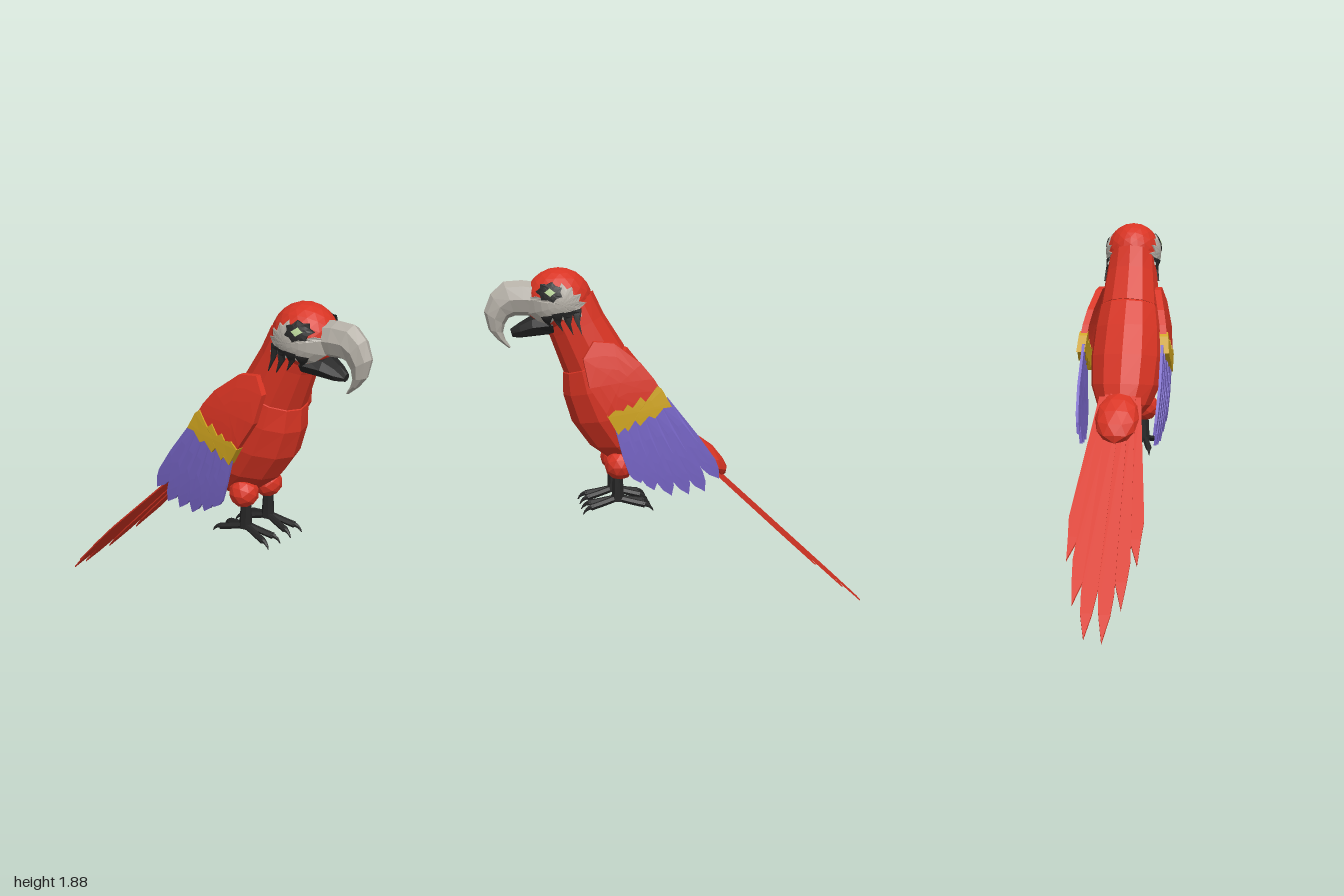
import * as THREE from 'three';

const mat = (name, color) =>
  new THREE.MeshStandardMaterial({ name, color, flatShading: true, side: THREE.DoubleSide });

function makeGeometry(points, index) {
  const g = new THREE.BufferGeometry();
  g.setAttribute('position', new THREE.Float32BufferAttribute(points.flat(), 3));
  g.setIndex(index);
  g.computeVertexNormals();
  return g;
}

// Skin over elliptical sections: [frontZ, frontY, backZ, backY, halfWidth]
function loft(sections, n = 12) {
  const pts = [], idx = [];
  sections.forEach(([fz, fy, bz, by, w], k) => {
    for (let i = 0; i < n; i++) {
      const a = (i / n) * Math.PI * 2, c = Math.cos(a) / 2;
      pts.push([w * Math.sin(a), (fy + by) / 2 + (fy - by) * c, (fz + bz) / 2 + (fz - bz) * c]);
      if (k === 0) continue;
      const j = (i + 1) % n, u = (k - 1) * n, l = k * n;
      idx.push(u + i, l + i, u + j, u + j, l + i, l + j);
    }
  });
  const last = (sections.length - 1) * n, top = pts.length;
  for (const s of [sections[0], sections.at(-1)]) pts.push([0, (s[1] + s[3]) / 2, (s[0] + s[2]) / 2]);
  for (let i = 0; i < n; i++) {
    const j = (i + 1) % n;
    idx.push(top, i, j, top + 1, last + j, last + i);
  }
  return makeGeometry(pts, idx);
}

// Thin plate from a [z, y] outline, wrapped on x = surface(z, y); side is +1 or -1
function plate(outline, surface, thick, side, rings = 3) {
  const v = outline.map(([z, y]) => new THREE.Vector2(z, y));
  if (THREE.ShapeUtils.area(v) > 0) v.reverse();
  const n = v.length;
  const mid = v.reduce((a, p) => a.add(p), new THREE.Vector2()).divideScalar(n);
  const pts = [], idx = [], layer = rings * n + 1;
  for (const t of [0, thick]) {
    const add = (p) => pts.push([side * (surface(p.x, p.y) - t), p.y, p.x]);
    add(mid);
    for (let k = 1; k <= rings; k++) v.forEach((p) => add(mid.clone().lerp(p, k / rings)));
  }
  const both = (a, b, c) => idx.push(a, b, c, layer + a, layer + c, layer + b);
  for (let i = 0; i < n; i++) {
    const j = (i + 1) % n;
    both(0, 1 + i, 1 + j);
    for (let k = 1; k < rings; k++) {
      const a = 1 + (k - 1) * n, b = a + n;
      both(a + i, b + i, b + j);
      both(a + i, b + j, a + j);
    }
    const e = 1 + (rings - 1) * n;
    idx.push(e + j, e + i, layer + e + i, e + j, layer + e + i, layer + e + j);
  }
  if (side < 0) idx.reverse();
  return makeGeometry(pts, idx);
}

// Side surface of the head and neck, used to wrap the face markings
function cheek(z, y) {
  const head = 0.15 * Math.sqrt(Math.max(0.1, 1 - ((z - 0.63) / 0.165) ** 2 - ((y - 1.72) / 0.16) ** 2));
  const d = (z - 0.46) * 0.9 - (y - 1.415) * 0.44, s = (z - 0.46) * 0.44 + (y - 1.415) * 0.9;
  const neck = (0.165 - 0.12 * s) * Math.sqrt(Math.max(0, 1 - (d / 0.15) ** 2));
  return Math.max(head, neck);
}

// Outer surface of the folded wing
const wingX = (z, y) => 0.245 - (y > 1.15 ? 0.45 : 0.15) * (y - 1.15) ** 2;

export function createModel() {
  const red = mat('red plumage', 0xd83423), yellow = mat('yellow band', 0xcfa41f);
  const purple = mat('purple flight feathers', 0x7866c8), grey = mat('pale horn', 0xb4afa6);
  const black = mat('black skin', 0x262626), green = mat('pale green eye', 0xb6d296);
  const model = new THREE.Group();
  const add = (name, geo, m) => {
    const mesh = new THREE.Mesh(geo, m);
    mesh.name = name;
    model.add(mesh);
    return mesh;
  };

  // Torso, neck, head and rump
  add('body', loft([
    [0.59, 1.38, 0.34, 1.49, 0.13], [0.62, 1.35, 0.29, 1.47, 0.17], [0.62, 1.24, 0.2, 1.35, 0.19],
    [0.58, 1.1, 0.1, 1.2, 0.2], [0.49, 0.97, 0.02, 1.05, 0.188],
    [0.37, 0.88, -0.02, 0.95, 0.145], [0.24, 0.83, -0.01, 0.87, 0.08]]), red);
  add('neck', loft([
    [0.73, 1.64, 0.46, 1.76, 0.13], [0.68, 1.54, 0.41, 1.65, 0.142], [0.61, 1.34, 0.305, 1.48, 0.165]]), red);
  const head = add('head', new THREE.IcosahedronGeometry(1, 3), red);
  head.scale.set(0.15, 0.16, 0.165);
  head.position.set(0, 1.72, 0.63);
  const rump = add('rump', new THREE.IcosahedronGeometry(1, 1), red);
  rump.scale.set(0.115, 0.065, 0.16);
  rump.position.set(0, 0.89, -0.11);
  rump.rotation.x = -0.76;

  // Hooked upper beak and shorter lower beak
  add('upperBeak', loft([
    [0.74, 1.81, 0.74, 1.64, 0.08], [0.81, 1.82, 0.81, 1.645, 0.078], [0.9, 1.815, 0.85, 1.645, 0.07],
    [0.965, 1.755, 0.88, 1.635, 0.06], [1.0, 1.67, 0.9, 1.605, 0.05],
    [0.98, 1.58, 0.91, 1.565, 0.038], [0.94, 1.53, 0.9, 1.53, 0.027], [0.885, 1.485, 0.875, 1.49, 0.01]], 8), grey);
  add('lowerBeak', loft([
    [0.68, 1.66, 0.66, 1.55, 0.105], [0.77, 1.645, 0.77, 1.54, 0.08],
    [0.83, 1.61, 0.83, 1.535, 0.055], [0.875, 1.58, 0.865, 1.54, 0.02]], 8), black);

  // Tail fan: long pointed blades in three overlapping pairs
  [[0.042, -0.99, 0.04, 0.02], [0.115, -0.86, 0.1, 0.05], [0.17, -0.685, 0.147, 0.08]].forEach(
    ([tipX, tipZ, midX, baseX], i) => {
      for (const s of [-1, 1]) {
        const shape = new THREE.Shape([
          [baseX - 0.03, 0.02], [midX - 0.04, tipZ + 0.18], [midX - 0.025, tipZ + 0.09], [tipX, tipZ - (s < 0 ? 0.01 : 0)],
          [midX + 0.03, tipZ + 0.09], [midX + 0.038, tipZ + 0.17], [baseX + 0.03, 0.02],
        ].map(([x, z]) => new THREE.Vector2(x * s, z)));
        const g = new THREE.ExtrudeGeometry(shape, { depth: 0.01, bevelEnabled: false });
        const p = g.attributes.position;
        for (let k = 0; k < p.count; k++) {
          const z = p.getY(k), h = -p.getZ(k) - i * 0.009 + (s > 0 ? 0.003 : 0);
          p.setXYZ(k, p.getX(k), 0.882 + (z + 0.1) * 0.965 + h, z);
        }
        g.computeVertexNormals();
        add('tailFeather', g, red);
      }
    });

  for (const s of [-1, 1]) {
    // Wing: shoulder cover, zigzag band, fanned flight feathers
    add('wingCover', plate([
      [0.48, 1.53], [0.38, 1.52], [0.25, 1.42], [0.19, 1.345], [0.14, 1.26], [0.26, 1.18],
      [0.4, 1.12], [0.43, 1.18], [0.51, 1.31], [0.535, 1.45]],
      (z, y) => wingX(z, y) - 0.004, 0.035, s), red);
    add('wingBand', plate([
      [0.425, 1.165], [0.385, 1.2], [0.36, 1.175], [0.325, 1.225], [0.305, 1.2], [0.26, 1.26], [0.235, 1.235],
      [0.175, 1.31], [0.15, 1.29], [0.105, 1.205], [0.125, 1.225], [0.19, 1.15], [0.21, 1.175],
      [0.265, 1.115], [0.29, 1.145], [0.325, 1.09], [0.345, 1.115], [0.375, 1.075]],
      (z, y) => wingX(z, y) + 0.003, 0.045, s, 2), yellow);
    const tips = [[0.26, 0.815], [0.19, 0.77], [0.1, 0.735], [0.01, 0.735], [-0.075, 0.745], [-0.148, 0.81]];
    tips.forEach(([tz, ty], i) => {
      const bz = 0.365 - i * 0.044, by = 1.13 + i * 0.02;
      const dz = tz - bz, dy = ty - by, len = Math.hypot(dz, dy);
      const at = (t, w) => [bz + dz * t + (dy / len) * w, by + dy * t - (dz / len) * w];
      add('flightFeather', plate([
        at(0, -0.03), at(0.5, -0.042), at(0.8, -0.042), at(0.9, -0.03), at(1, 0),
        at(0.9, 0.03), at(0.8, 0.042), at(0.5, 0.042), at(0, 0.03)],
        (z, y) => wingX(z, y) - 0.004 - i * 0.004, 0.014, s, 2), purple);
    });

    // Face: pale cheek, ragged dark streaks, eye patch and eye
    add('cheekPatch', plate([
      [0.795, 1.735], [0.75, 1.75], [0.71, 1.74], [0.66, 1.755], [0.625, 1.815], [0.6, 1.785], [0.575, 1.795],
      [0.57, 1.755], [0.53, 1.76], [0.545, 1.725], [0.505, 1.715], [0.54, 1.69], [0.53, 1.65], [0.58, 1.66],
      [0.61, 1.63], [0.65, 1.65], [0.69, 1.61], [0.74, 1.625], [0.785, 1.66]],
      (z, y) => cheek(z, y) + 0.006, 0.009, s, 5), grey);
    for (const [z, y, w, h] of [[0.7, 1.65, 0.03, 0.06], [0.65, 1.665, 0.03, 0.09],
      [0.6, 1.67, 0.028, 0.11], [0.555, 1.68, 0.025, 0.12]])
      add('cheekStreak', plate([[z + w, y], [z - w, y + 0.01], [z - w * 0.5, y - h * 0.5],
        [z - w * 0.9, y - h], [z + w * 0.5, y - h * 0.4]],
        (a, b) => cheek(a, b) + 0.01, 0.009, s, 3), black);
    const ring = (r1, r2, n) => Array.from({ length: n }, (_, i) => {
      const a = (i / n) * Math.PI * 2, r = i % 2 ? r2 : r1;
      return [0.685 + Math.cos(a) * r, 1.772 + Math.sin(a) * r * 0.75];
    });
    add('eyePatch', plate(ring(0.066, 0.05, 14), (z, y) => cheek(z, y) + 0.012, 0.009, s), black);
    add('eye', plate(ring(0.026, 0.018, 8), (z, y) => cheek(z, y) + 0.016, 0.009, s, 2), green);

    // Leg: feathered thigh, shank, two toes forward and two back with claws
    const thigh = add('thigh', new THREE.IcosahedronGeometry(0.077, 1), red);
    thigh.position.set(s * 0.095, 0.88, 0.35);
    const shank = add('shank', new THREE.CylinderGeometry(0.026, 0.034, 0.15, 7), black);
    shank.position.set(s * 0.09, 0.765, 0.36);
    for (const f of [-1, 1]) for (const o of [-1, 1]) {
      const toe = (x, y, z) => new THREE.Vector3(s * 0.09 + o * x, y, 0.365 + f * z);
      const path = new THREE.CatmullRomCurve3([toe(0.005, 0.705, 0), toe(0.025, 0.685, 0.08), toe(0.04, 0.672, 0.14)]);
      add('toe', new THREE.TubeGeometry(path, 4, 0.017, 6), black);
      add('claw', loftClaw(toe(0.037, 0.675, 0.13), toe(0.045, 0.672, 0.165), toe(0.047, 0.64, 0.18)), black);
    }
  }
  return model;
}

// Curved claw: a tube that narrows to its tip
function loftClaw(a, b, c) {
  const curve = new THREE.QuadraticBezierCurve3(a, b, c);
  const g = new THREE.TubeGeometry(curve, 4, 0.016, 6);
  const p = g.attributes.position, v = new THREE.Vector3();
  for (let i = 0; i < p.count; i++) {
    const t = Math.floor(i / 7) / 4, o = curve.getPointAt(t);
    v.fromBufferAttribute(p, i).sub(o).multiplyScalar(1 - 0.85 * t).add(o);
    p.setXYZ(i, v.x, v.y, v.z);
  }
  return g;
}
